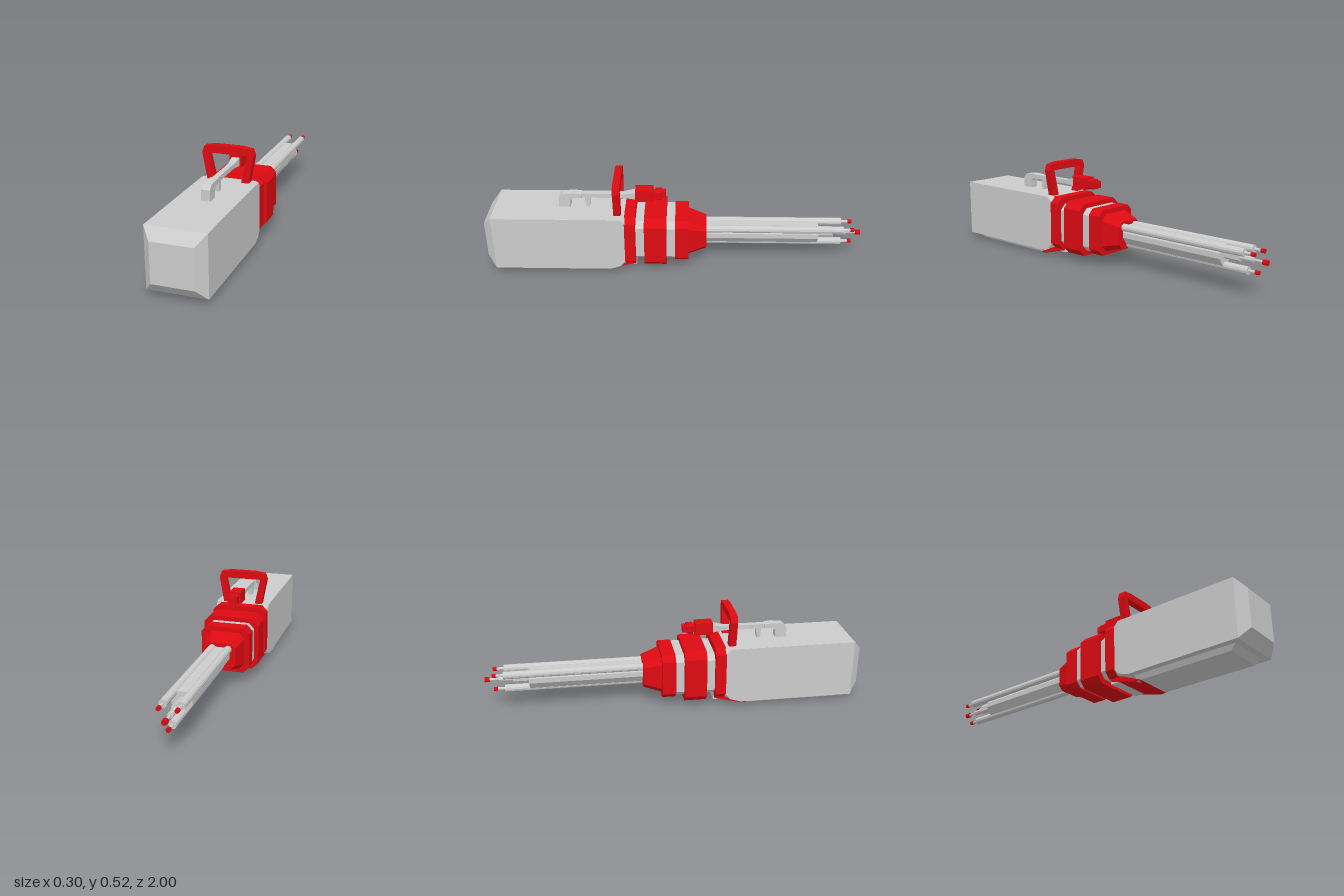
import * as THREE from 'three';

const grey = new THREE.MeshStandardMaterial({ color: 0xcccccc, flatShading: true });
const red = new THREE.MeshStandardMaterial({ color: 0xdd0a12, flatShading: true });

// Loft through chamfered rectangles [z, halfWidth, yLow, yHigh, chamfer], front to back
function loft(sections) {
  const rings = sections.map(([z, w, lo, hi, c]) => [
    [w, lo + c], [w, hi - c], [w - c, hi], [c - w, hi],
    [-w, hi - c], [-w, lo + c], [c - w, lo], [w - c, lo],
  ].map(([x, y]) => [x, y, z]));
  const pos = [];
  const tri = (...p) => p.forEach((v) => pos.push(...v));
  for (let s = 0; s < rings.length - 1; s++) {
    const a = rings[s], b = rings[s + 1];
    for (let i = 0; i < 8; i++) {
      const j = (i + 1) % 8;
      tri(a[i], b[i], a[j]);
      tri(a[j], b[i], b[j]);
    }
  }
  const first = rings[0], last = rings[rings.length - 1];
  for (let i = 1; i < 7; i++) {
    tri(first[0], first[i], first[i + 1]);
    tri(last[0], last[i + 1], last[i]);
  }
  const g = new THREE.BufferGeometry();
  g.setAttribute('position', new THREE.Float32BufferAttribute(pos, 3));
  g.computeVertexNormals();
  return g;
}

const outline = (pts) => new THREE.Shape(pts.map(([x, y]) => new THREE.Vector2(x, y)));

// Outline in x, y extruded between two z values
function frontExtrude(pts, z0, z1) {
  return new THREE.ExtrudeGeometry(outline(pts), { depth: z1 - z0, bevelEnabled: false }).translate(0, 0, z0);
}

// Outline in z, y extruded across the width
function sideExtrude(pts, width) {
  return new THREE.ExtrudeGeometry(outline(pts), { depth: width, bevelEnabled: false })
    .translate(0, 0, -width / 2).rotateY(-Math.PI / 2);
}

// Rod along z between two z values
function rod(x, y, r, z0, z1, sides = 12) {
  return new THREE.CylinderGeometry(r, r, z0 - z1, sides).rotateX(Math.PI / 2).translate(x, y, (z0 + z1) / 2);
}

function box(w, y0, y1, z0, z1) {
  return new THREE.BoxGeometry(w, y1 - y0, z0 - z1).translate(0, (y0 + y1) / 2, (z0 + z1) / 2);
}

export function createModel() {
  const model = new THREE.Group();
  const add = (name, geometry, material = grey, parent = model) => {
    const mesh = new THREE.Mesh(geometry, material);
    mesh.name = name;
    parent.add(mesh);
  };

  // Main housing with bevelled front and chamfered rear corners
  add('housing', loft([
    [1, 0.105, 0.082, 0.283, 0.0005],
    [0.953, 0.15, 0.027, 0.337, 0.0005],
    [0.34, 0.15, 0.027, 0.337, 0.0005],
    [0.285, 0.15, 0.045, 0.337, 0.0005],
    [0.25, 0.147, 0.055, 0.334, 0.03],
  ]));

  // Keel, narrowing downwards
  const keel = new THREE.BoxGeometry(0.24, 0.035, 0.57).translate(0, 0.0175, 0.645);
  const p = keel.attributes.position;
  for (let i = 0; i < p.count; i++) {
    if (p.getY(i) > 0.01) continue;
    p.setX(i, p.getX(i) * 0.87);
    if (p.getZ(i) > 0.6) p.setZ(i, 0.89);
  }
  keel.computeVertexNormals();
  add('keel', keel);

  // Rear collar and the slanted band under it
  add('rearCollar', loft([[0.26, 0.15, 0.05, 0.337, 0.03], [0.203, 0.15, 0.05, 0.337, 0.03]]), red);
  add('slantedBand', sideExtrude([[0.385, 0], [0.26, 0.055], [0.205, 0.055], [0.205, 0.04], [0.35, 0]], 0.22), red);
  add('underPlate', sideExtrude([[0.33, 0.018], [0.26, 0.08], [0.2, 0.08], [0.2, 0.027], [0.3, 0.027]], 0.2));

  // Grey neck with red rings and a tapered nose
  add('neck', loft([[0.22, 0.128, 0.068, 0.3, 0.03], [-0.02, 0.128, 0.068, 0.3, 0.03]]));
  add('middleRing', loft([[0.157, 0.152, 0.04, 0.325, 0.035], [0.04, 0.152, 0.04, 0.325, 0.035]]), red);
  add('frontRing', loft([[-0.005, 0.13, 0.06, 0.305, 0.03], [-0.077, 0.13, 0.06, 0.305, 0.03]]), red);
  add('nose', loft([[-0.07, 0.108, 0.08, 0.282, 0.03], [-0.172, 0.08, 0.107, 0.25, 0.025]]), red);

  // Three barrels around a longer centre spindle
  [[0.043, 0.22], [-0.043, 0.22], [0, 0.124]].forEach(([x, y], i) => {
    const barrel = new THREE.Group();
    barrel.name = 'barrel' + (i + 1);
    add('tube', rod(x, y, 0.02, -0.16, -0.9), grey, barrel);
    add('pin', rod(x, y, 0.008, -0.89, -0.94, 8), grey, barrel);
    add('tip', rod(x, y, 0.011, -0.937, -0.957, 8), red, barrel);
    model.add(barrel);
  });
  add('barrelCore', frontExtrude([
    [0.02, 0.125], [0.05, 0.166], [0.05, 0.193], [0.028, 0.228],
    [-0.028, 0.228], [-0.05, 0.193], [-0.05, 0.166], [-0.02, 0.125],
  ], -0.77, -0.16));
  add('spindleBase', rod(0, 0.181, 0.023, -0.76, -0.855, 6));
  add('spindleStep', rod(0, 0.181, 0.014, -0.85, -0.925, 8));
  add('spindlePin', rod(0, 0.181, 0.007, -0.92, -0.98, 8));
  add('spindleTip', rod(0, 0.181, 0.014, -0.975, -1, 8), red);

  // Carrying handle
  const half = [[0.068, 0.33], [0.108, 0.33], [0.135, 0.477], [0.123, 0.51], [0.07, 0.518]];
  const inner = [0.1, 0.477];
  const mirror = (pts) => pts.map(([x, y]) => [-x, y]).reverse();
  add('handle', frontExtrude([...half, ...mirror(half), [-inner[0], inner[1]], inner], 0.278, 0.316), red);

  // Top rail with hooked foot, strut and flared end
  add('railFoot', sideExtrude([
    [0.55, 0.33], [0.61, 0.33], [0.61, 0.393], [0.588, 0.413], [0.53, 0.418],
    [0.49, 0.414], [0.49, 0.392], [0.53, 0.39], [0.547, 0.38],
  ], 0.044));
  add('rail', box(0.03, 0.39, 0.414, 0.5, 0.26));
  add('railStrut', sideExtrude([[0.45, 0.33], [0.467, 0.33], [0.474, 0.4], [0.443, 0.4]], 0.026));
  add('railEnd', loft([[0.275, 0.016, 0.39, 0.414, 0.002], [0.2, 0.021, 0.382, 0.43, 0.002]]));

  // Red block and knob behind the rail
  add('block', box(0.065, 0.378, 0.443, 0.205, 0.112), red);
  add('blockNeck', box(0.034, 0.393, 0.427, 0.115, 0.045), red);
  add('knob', loft([
    [0.1, 0.026, 0.385, 0.437, 0.008], [0.066, 0.026, 0.385, 0.437, 0.008],
  ]), red);
  add('knobEnd', box(0.038, 0.392, 0.43, 0.06, 0.045), red);

  return model;
}
